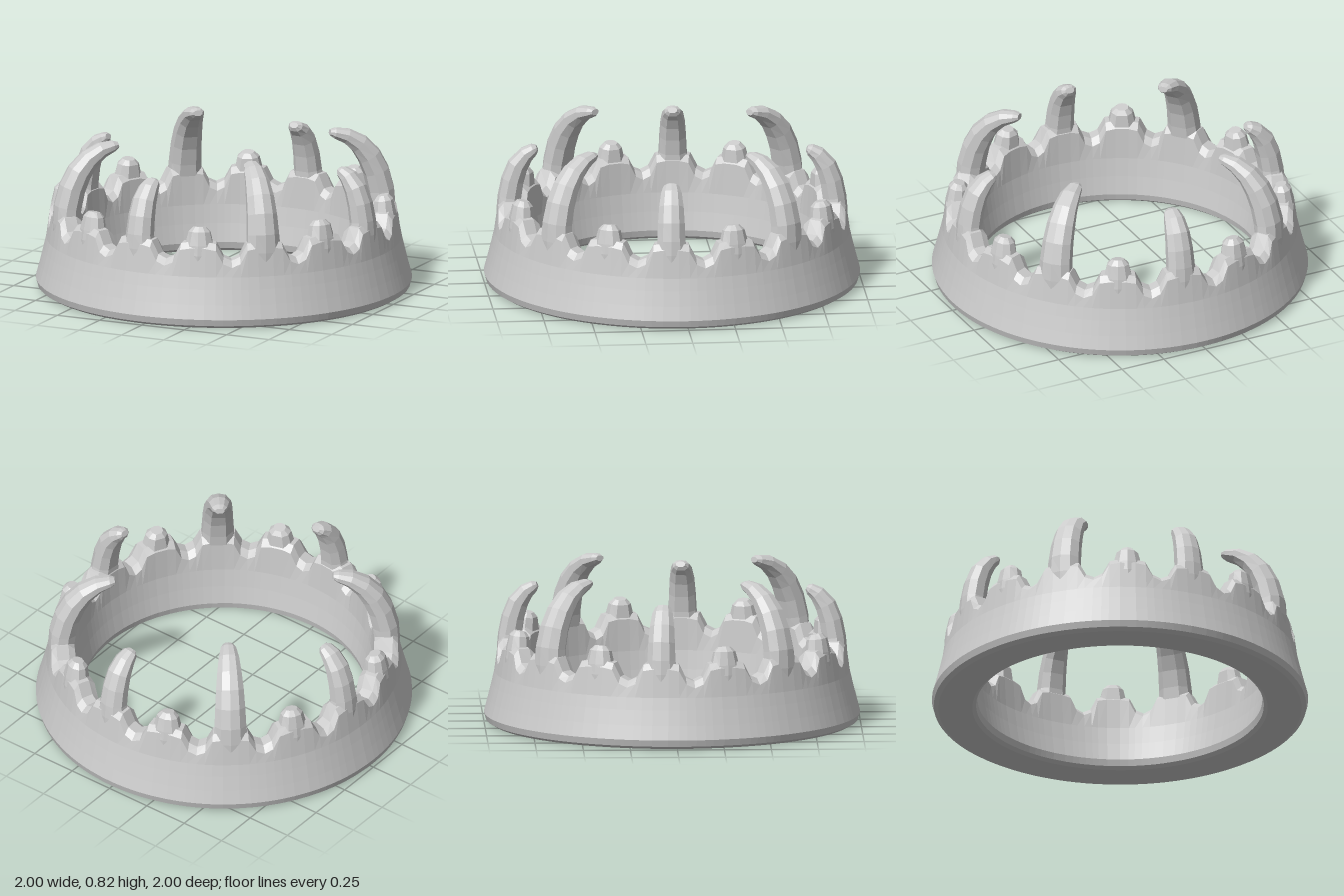
import * as THREE from 'three';

const SECTORS = 16;
const STEP = (Math.PI * 2) / SECTORS;
const START = THREE.MathUtils.degToRad(-5.3);

// point on a circle of radius r, angle measured from the front (+z) towards +x
const polar = (r, y, a) => [r * Math.sin(a), y, r * Math.cos(a)];

// skin a list of closed cross-sections; optionally join last to first, or cap the end
function loft(rings, { loop = false, cap = false } = {}) {
  const n = rings[0].length, m = rings.length;
  const position = rings.flat(2);
  const index = [];
  for (let i = 0; i < (loop ? m : m - 1); i++) {
    for (let j = 0; j < n; j++) {
      const a = i * n + j, b = ((i + 1) % m) * n + j;
      const c = ((i + 1) % m) * n + (j + 1) % n, d = i * n + (j + 1) % n;
      index.push(a, b, c, a, c, d);
    }
  }
  if (cap) {
    const e = (m - 1) * n;
    for (let j = 1; j < n - 1; j++) index.push(e, e + j + 1, e + j);
  }
  const indexed = new THREE.BufferGeometry();
  indexed.setAttribute('position', new THREE.Float32BufferAttribute(position, 3));
  indexed.setIndex(index);
  const geometry = indexed.toNonIndexed();
  geometry.computeVertexNormals();
  return geometry;
}

// flared band whose upper edge dips between the spikes
function bandGeometry() {
  // [angle from spike centre in degrees, height of the outer edge]
  const columns = [[-11.25, 0.32], [-8.4, 0.34], [-6, 0.41], [-2.5, 0.42], [2.5, 0.42], [6, 0.41], [8.4, 0.34]];
  const rings = [];
  for (let s = 0; s < SECTORS; s++) {
    for (const [deg, h] of columns) {
      const a = START + s * STEP + THREE.MathUtils.degToRad(deg);
      const lean = (h - 0.32) * 0.1;
      const profile = [
        [0.965, 0], [0.99, 0.015], [1, 0.05], [0.98, 0.125], [0.96, 0.205], [0.945, 0.27],
        [0.935 - lean, h], [0.9, h + 0.032], [0.835, h + 0.032], [0.8, h],
        [0.79, 0.25], [0.775, 0.15], [0.757, 0.05], [0.765, 0.015], [0.785, 0],
      ];
      rings.push(profile.map(([r, y]) => polar(r, y, a)));
    }
  }
  return loft(rings, { loop: true });
}

// half-size cross-section of a spike: [outward, sideways]
const SECTION = [
  [1, 0], [0.85, 0.6], [0.3, 1], [-0.45, 0.95], [-1, 0.5],
  [-1, -0.5], [-0.45, -0.95], [0.3, -1], [0.85, -0.6],
];

// path stations: [radius, height, radial thickness, width]
const SPIKES = {
  mediumSpike: [
    [0.868, 0.3, 0.13, 0.21], [0.868, 0.39, 0.13, 0.175], [0.864, 0.46, 0.125, 0.15], [0.848, 0.55, 0.12, 0.142],
    [0.82, 0.63, 0.11, 0.13], [0.775, 0.69, 0.085, 0.11], [0.735, 0.716, 0.06, 0.085], [0.718, 0.724, 0.03, 0.05],
  ],
  smallSpike: [
    [0.868, 0.3, 0.13, 0.24], [0.868, 0.38, 0.13, 0.19], [0.866, 0.43, 0.12, 0.15],
    [0.86, 0.5, 0.1, 0.115], [0.855, 0.525, 0.06, 0.065],
  ],
  largeSpike: [
    [0.868, 0.3, 0.13, 0.22], [0.868, 0.39, 0.135, 0.185], [0.86, 0.48, 0.14, 0.17], [0.835, 0.58, 0.135, 0.16],
    [0.795, 0.665, 0.125, 0.148], [0.74, 0.733, 0.105, 0.13], [0.67, 0.78, 0.08, 0.108],
    [0.605, 0.798, 0.055, 0.08], [0.58, 0.802, 0.03, 0.05],
  ],
};

// spike curving towards the middle, built at the front of the band
function spikeGeometry(stations) {
  const rings = stations.map(([r, y, thick, width], i) => {
    const p = stations[Math.max(i - 1, 0)], q = stations[Math.min(i + 1, stations.length - 1)];
    const out = new THREE.Vector2(q[1] - p[1], p[0] - q[0]).normalize();
    return SECTION.map(([o, s]) => [
      -s * width / 2,
      y + out.y * o * thick / 2,
      r + out.x * o * thick / 2,
    ]);
  });
  return loft(rings, { cap: true });
}

export function createModel() {
  const crown = new THREE.Group();
  crown.name = 'crown';
  const material = new THREE.MeshStandardMaterial({ color: 0xcccccc, flatShading: true });

  const band = new THREE.Mesh(bandGeometry(), material);
  band.name = 'band';
  crown.add(band);

  // spikes alternate medium, small, large, small around the band
  const order = ['mediumSpike', 'smallSpike', 'largeSpike', 'smallSpike'];
  const geometries = {};
  for (const name in SPIKES) geometries[name] = spikeGeometry(SPIKES[name]);
  for (let s = 0; s < SECTORS; s++) {
    const name = order[s % order.length];
    const spike = new THREE.Mesh(geometries[name], material);
    spike.name = name;
    spike.rotation.y = START + s * STEP;
    crown.add(spike);
  }
  return crown;
}
